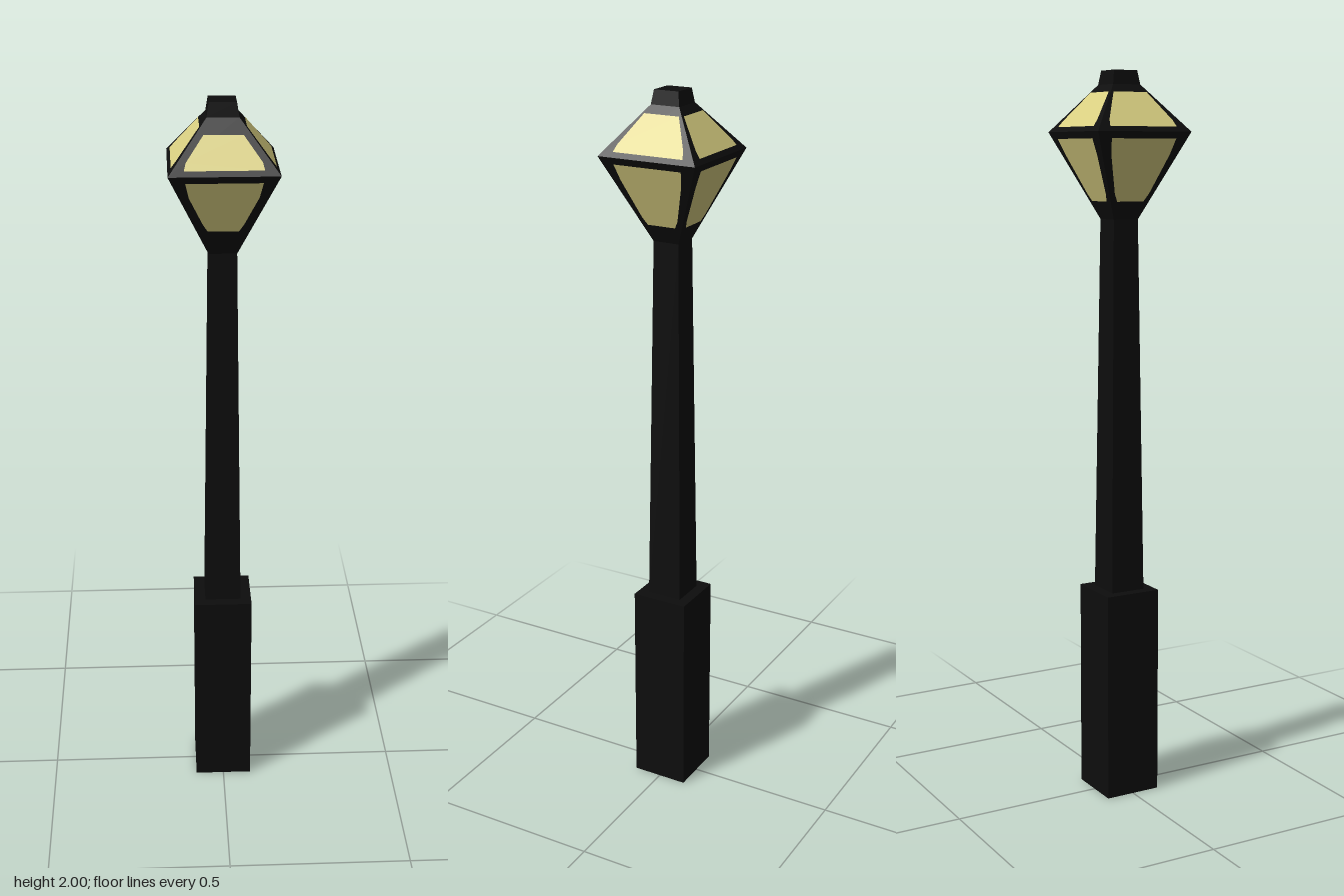
import * as THREE from 'three';

const iron = new THREE.MeshStandardMaterial({ color: 0x0d0d0d });
iron.name = 'blackIron';
const glass = new THREE.MeshStandardMaterial({ color: 0xdad082 });
glass.name = 'warmGlass';

// Lantern profile: half width at each height
const NECK = { y: 1.61, w: 0.037 };
const RIM = { y: 1.84, w: 0.14 };
const CROWN = { y: 1.963, w: 0.041 };

// Square tapered block with crisp faces
function taper(name, y0, w0, y1, w1) {
  const r = Math.SQRT2;
  const geo = new THREE.CylinderGeometry(w1 * r, w0 * r, y1 - y0, 4, 1, false, Math.PI / 4).toNonIndexed();
  geo.computeVertexNormals();
  geo.translate(0, (y0 + y1) / 2, 0);
  const mesh = new THREE.Mesh(geo, iron);
  mesh.name = name;
  return mesh;
}

// Thin pane lying on the slope between two profile points; rows are [y, halfWidth] from bottom to top
function pane(name, rows, a, b) {
  const right = rows.map(([y, w]) => new THREE.Vector2(w, y));
  const left = rows.map(([y, w]) => new THREE.Vector2(-w, y)).reverse();
  const geo = new THREE.ShapeGeometry(new THREE.Shape([...right, ...left]));
  const p = geo.attributes.position;
  for (let i = 0; i < p.count; i++) {
    const t = (p.getY(i) - a.y) / (b.y - a.y);
    p.setZ(i, a.w + (b.w - a.w) * t + 0.002);
  }
  geo.computeVertexNormals();
  const mesh = new THREE.Mesh(geo, glass);
  mesh.name = name;
  return mesh;
}

export function createModel() {
  const model = new THREE.Group();
  model.name = 'streetLamp';

  // Pedestal and post
  model.add(taper('base', 0, 0.08, 0.585, 0.08));
  model.add(taper('post', 0.585, 0.05, NECK.y, NECK.w));

  // Lantern body and cap
  const lantern = new THREE.Group();
  lantern.name = 'lantern';
  lantern.add(taper('lowerFrame', NECK.y, NECK.w, RIM.y, RIM.w));
  lantern.add(taper('upperFrame', RIM.y, RIM.w, CROWN.y, CROWN.w));
  lantern.add(taper('cap', CROWN.y, CROWN.w, 2, 0.035));

  // Glass on all four sides; the front panes are a little shorter
  ['front', 'left', 'back', 'right'].forEach((side, i) => {
    const top = i === 0 ? 1.927 : 1.943;
    const low = i === 0 ? 1.68 : 1.658;
    const panes = new THREE.Group();
    panes.name = side + 'Panes';
    panes.add(pane('upperPane', [[1.853, 0.1], [1.87, 0.095], [top, 0.05]], RIM, CROWN));
    panes.add(pane('lowerPane', [[low, 0.04], [low + 0.02, 0.052], [1.78, 0.088], [1.822, 0.097]], NECK, RIM));
    panes.rotation.y = i * Math.PI / 2;
    lantern.add(panes);
  });
  model.add(lantern);
  return model;
}
